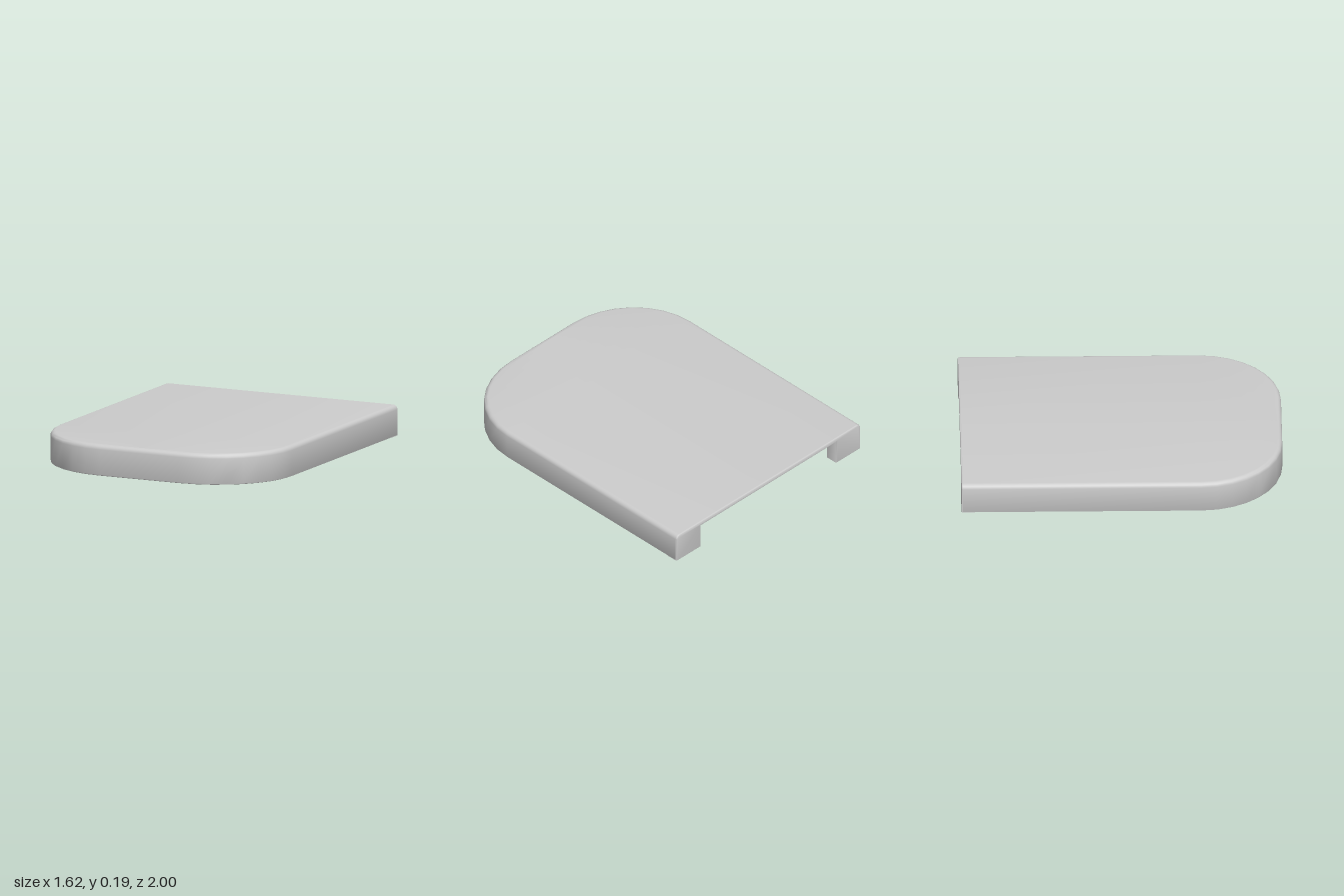
import * as THREE from 'three';
import { toCreasedNormals } from 'three/addons/utils/BufferGeometryUtils.js';

const W = 0.808, H = 0.195, WALL = 0.03, PLATE = 0.03, ROUND = 0.03, BEVEL = 0.008;
const BACK = -0.99, SEGS = 8;

// U-shaped outline, inset by d, running from the back left corner round the front to the back right
function outline(d) {
  const half = [[W - d, BACK]];
  for (let i = 0; i <= SEGS; i++) {
    const a = (i / SEGS) * Math.PI / 2;
    half.push([0.27 + (W - 0.27 - d) * Math.cos(a), 0.49 + (0.51 - d) * Math.sin(a)]);
  }
  return half.concat(half.slice().reverse().map(([x, z]) => [-x, z]));
}

// Thin lid: underside, inner wall, rim, outer wall, rounded top edge and flat top
function lidGeometry() {
  const profile = [
    [WALL, H - PLATE], [WALL, BEVEL], [WALL - BEVEL, 0],
    [BEVEL, 0], [BEVEL * 0.3, BEVEL * 0.3], [0, BEVEL],
  ];
  for (let i = 0; i <= 5; i++) {
    const a = (i / 5) * Math.PI / 2;
    profile.push([ROUND * (1 - Math.cos(a)), H - ROUND + ROUND * Math.sin(a)]);
  }
  const rows = profile.map(([d, y]) => outline(d).map(([x, z]) => [x, y, z]));
  // close underside and top by drawing the end rows onto the centre line
  const collapse = row => row.map(([, y, z]) => [0, y, z]);
  rows.unshift(collapse(rows[0]));
  rows.push(collapse(rows[rows.length - 1]));

  const n = rows[0].length, pos = [];
  const tri = (...pts) => pts.forEach(p => pos.push(...p));
  for (let j = 0; j < rows.length - 1; j++) {
    const flat = j === 0 || j === rows.length - 2;
    for (let i = 0; i < n - 1; i++) {
      if (flat && i === n / 2 - 1) continue;
      const a = rows[j][i], b = rows[j + 1][i], c = rows[j + 1][i + 1], d = rows[j][i + 1];
      tri(a, b, d);
      tri(b, c, d);
    }
  }
  const g = new THREE.BufferGeometry();
  g.setAttribute('position', new THREE.Float32BufferAttribute(pos, 3));
  return toCreasedNormals(g, 0.7);
}

// Back edge of the lid with a square foot at each corner
function backFrameGeometry() {
  const w = W - 0.001, h = H - 0.001, inner = 0.595, under = H - PLATE, r = ROUND;
  const s = new THREE.Shape();
  s.moveTo(-w, 0.001);
  s.lineTo(-inner, 0.001);
  s.lineTo(-inner, under);
  s.lineTo(inner, under);
  s.lineTo(inner, 0.001);
  s.lineTo(w, 0.001);
  s.lineTo(w, h - r);
  s.absarc(w - r, h - r, r, 0, Math.PI / 2, false);
  s.lineTo(-w + r, h);
  s.absarc(-w + r, h - r, r, Math.PI / 2, Math.PI, false);
  s.closePath();
  const g = new THREE.ExtrudeGeometry(s, {
    depth: 0.09 - 2 * BEVEL, curveSegments: 5,
    bevelEnabled: true, bevelThickness: BEVEL, bevelSize: BEVEL, bevelOffset: -BEVEL, bevelSegments: 2,
  });
  g.translate(0, 0, -1 + BEVEL);
  return toCreasedNormals(g, 0.7);
}

export function createModel() {
  const material = new THREE.MeshStandardMaterial({ color: 0xcccccc });
  const model = new THREE.Group();
  model.name = 'lid';
  const add = (name, geometry) => {
    const mesh = new THREE.Mesh(geometry, material);
    mesh.name = name;
    model.add(mesh);
  };
  add('lidShell', lidGeometry());
  add('backFrame', backFrameGeometry());
  return model;
}
